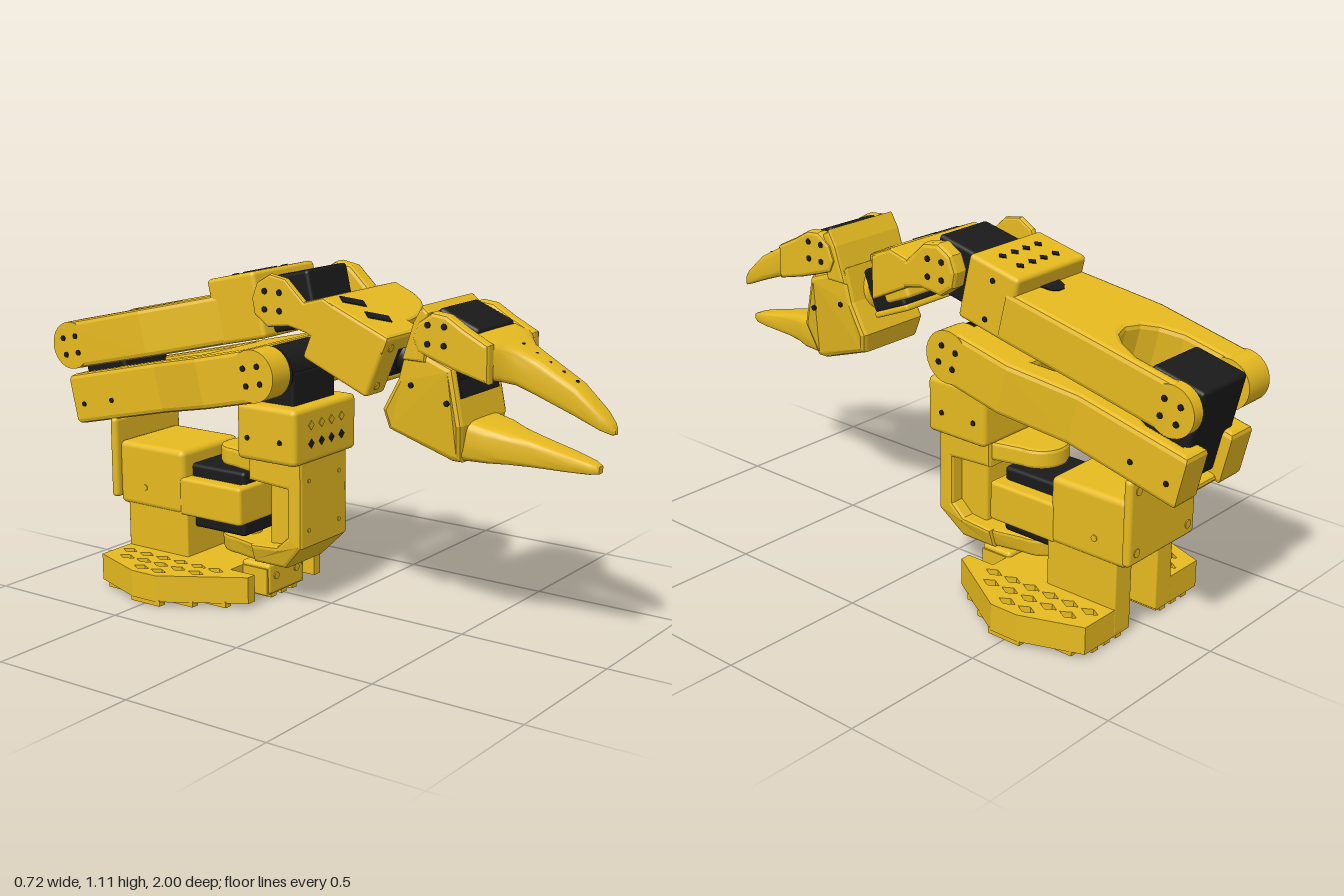
import * as THREE from 'three';
import { toCreasedNormals } from 'three/addons/utils/BufferGeometryUtils.js';
import { RoundedBoxGeometry } from 'three/addons/geometries/RoundedBoxGeometry.js';

const yellow = new THREE.MeshStandardMaterial({ color: 0xe6ba20 });
yellow.name = 'yellow plastic';
const black = new THREE.MeshStandardMaterial({ color: 0x1a1a1a });
black.name = 'black servo';

const polygon = (pts) => new THREE.Shape(pts.map(([a, b]) => new THREE.Vector2(a, b)));

function add(parent, name, geo, mat = yellow) {
  const mesh = new THREE.Mesh(geo, mat);
  mesh.name = name;
  parent.add(mesh);
  return mesh;
}

// Bevelled extrusion that keeps to its outline and spans 0..depth
function extrude(shape, depth, b) {
  return new THREE.ExtrudeGeometry(shape, {
    depth: depth - 2 * b, bevelEnabled: b > 0, bevelThickness: b, bevelSize: b, bevelOffset: -b, bevelSegments: 2, curveSegments: 20,
  }).translate(0, 0, b);
}

// Outline in (z, y), extruded from x0 to x1
const side = (parent, name, pts, x0, x1, mat = yellow, b = 0.01) =>
  add(parent, name, extrude(polygon(pts), x1 - x0, b).rotateY(-Math.PI / 2).translate(x1, 0, 0), mat);

// Outline in (x, z), extruded from y0 to y1
const plan = (parent, name, shape, y0, y1, mat = yellow, b = 0.012) =>
  add(parent, name, extrude(shape, y1 - y0, b).rotateX(Math.PI / 2).translate(0, y1, 0), mat);

// Narrows a part in x from full width at yTop to the factor k at yBottom
function taper(mesh, yTop, yBottom, k) {
  const p = mesh.geometry.attributes.position;
  for (let i = 0; i < p.count; i++) {
    const t = THREE.MathUtils.clamp((yTop - p.getY(i)) / (yTop - yBottom), 0, 1);
    p.setX(i, p.getX(i) * (1 + (k - 1) * t));
  }
  mesh.geometry.computeVertexNormals();
}

function box(parent, name, [x0, x1], [y0, y1], [z0, z1], mat = yellow, r = 0.012) {
  const geo = new RoundedBoxGeometry(x1 - x0, y1 - y0, z1 - z0, 2, r);
  return add(parent, name, geo.translate((x0 + x1) / 2, (y0 + y1) / 2, (z0 + z1) / 2), mat);
}

// Disc or hub along x
const hub = (parent, name, r, x0, x1, y, z, mat = yellow) =>
  add(parent, name, new THREE.CylinderGeometry(r, r, x1 - x0, 32).rotateZ(Math.PI / 2).translate((x0 + x1) / 2, y, z), mat);

// Small screws and holes on faces towards x, y or z
function screw(parent, axis, x, y, z, mat = yellow, r = 0.011, sides = 10) {
  const geo = new THREE.CylinderGeometry(r, r, 0.006, sides);
  if (axis === 'x') geo.rotateZ(Math.PI / 2);
  if (axis === 'z') geo.rotateX(Math.PI / 2);
  add(parent, sides === 4 ? 'diamondHole' : 'screw', geo.translate(x, y, z), mat);
}

function hubScrews(parent, x, y, z, r = 0.04) {
  for (let i = 0; i < 4; i++) {
    const a = Math.PI / 4 + i * Math.PI / 2;
    screw(parent, 'x', x, y + r * Math.sin(a), z + r * Math.cos(a), black, 0.01);
  }
}

// Jaw lofted through boxy rounded sections [z, bottom, top, halfWidth]
function loft(parent, name, rows) {
  const n = 32, pos = [], idx = [];
  for (const [z, y0, y1, w] of rows) for (let i = 0; i < n; i++) {
    const a = (i / n) * Math.PI * 2, c = Math.cos(a), s = Math.sin(a);
    const f = (v) => Math.sign(v) * Math.abs(v) ** 0.4;
    pos.push(w * f(c), (y0 + y1) / 2 + (y1 - y0) / 2 * f(s), z);
  }
  for (let k = 0; k < rows.length - 1; k++) for (let i = 0; i < n; i++) {
    const a = k * n + i, b = k * n + (i + 1) % n;
    idx.push(a, b, b + n, a, b + n, a + n);
  }
  const last = (rows.length - 1) * n;
  for (let i = 1; i < n - 1; i++) idx.push(0, i + 1, i, last, last + i, last + i + 1);
  const geo = new THREE.BufferGeometry();
  geo.setAttribute('position', new THREE.Float32BufferAttribute(pos, 3));
  geo.setIndex(idx);
  add(parent, name, toCreasedNormals(geo, 0.6));
}

function section(parent, name, y = 0, z = 0, tilt = 0) {
  const g = new THREE.Group();
  g.name = name;
  g.position.set(0, y, z);
  g.rotation.x = tilt;
  parent.add(g);
  return g;
}

const mirrored = (half) => polygon([...half, ...half.map(([x, z]) => [-x, z]).reverse()]);

function buildBase(root) {
  const g = section(root, 'base');
  const limit = (z) => z < -0.55 ? 0.285 + (z + 0.75) * 0.375 : z < -0.45 ? 0.36 : 0.36 - (z + 0.45) * 0.615;
  // Perforated foot plate with a rear notch and two front slots
  const plate = mirrored([[0.07, -0.55], [0.07, -0.75], [0.285, -0.75], [0.36, -0.55], [0.36, -0.45], [0.2, -0.19], [0.165, -0.19], [0.165, -0.29], [0.1, -0.29], [0.1, -0.19]]);
  for (const s of [-1, 1]) for (let c = 0; c < 3; c++) for (let r = 0; r < 7; r++) {
    const x = 0.2 + c * 0.057, z = -0.7 + r * 0.075 + (c % 2) * 0.037;
    if (x + 0.03 > Math.min(limit(z - 0.03), limit(z + 0.03)) || z > -0.25) continue;
    plate.holes.push(new THREE.Path([[0.019, 0], [0, 0.032], [-0.019, 0], [0, -0.032]]
      .map(([a, b]) => new THREE.Vector2(s * x + a, z + b))));
  }
  plan(g, 'footPlate', plate, 0.015, 0.105, yellow, 0);
  // Ribs below the plate
  for (let i = -6; i <= 6; i++) {
    const x = Math.abs(i) * 0.057;
    const z0 = x < 0.09 ? -0.55 : x < 0.28 ? -0.745 : -0.75 + (x - 0.27) / 0.375;
    const z1 = x > 0.1 && x < 0.18 ? -0.29 : x < 0.2 ? -0.195 : -0.45 + (0.35 - x) / 0.615;
    add(g, 'footRib', new THREE.BoxGeometry(0.028, 0.02, z1 - z0).translate(i * 0.057, 0.01, (z0 + z1) / 2));
  }
  box(g, 'frontBlock', [-0.095, 0.095], [0.015, 0.12], [-0.3, -0.185]);
  for (const x of [-0.055, 0.055]) screw(g, 'z', x, 0.075, -0.184, yellow, 0.013);
  // Column, servo cradle and back plate
  for (const s of [-1, 1]) {
    const span = (a, b) => s > 0 ? [a, b] : [-b, -a];
    box(g, 'columnLeg', span(0.065, 0.145), [0.02, 0.27], [-0.751, -0.49], yellow, 0.006);
    box(g, 'cradleArm', span(0.095, 0.15), [0.25, 0.38], [-0.52, -0.26]);
    screw(g, 'x', s * 0.15, 0.32, -0.67);
  }
  box(g, 'columnCore', [-0.1, 0.1], [0.08, 0.27], [-0.58, -0.49]);
  box(g, 'cradle', [-0.15, 0.15], [0.25, 0.47], [-0.785, -0.5], yellow, 0.02);
  box(g, 'cradleFront', [-0.12, 0.12], [0.25, 0.38], [-0.3, -0.26]);
  box(g, 'backPlate', [-0.168, 0.168], [0.27, 0.55], [-0.81, -0.78], yellow, 0.014);
  for (const x of [-0.13, 0.13]) for (const y of [0.31, 0.51]) screw(g, 'z', x, y, -0.81, yellow, 0.014);
  box(g, 'baseServo', [-0.1, 0.1], [0.2, 0.42], [-0.51, -0.28], black);
}

function buildShoulder(root) {
  const g = section(root, 'shoulder');
  // C-shaped yaw bracket around the base servo
  const wall = side(g, 'bracketWall', [[-0.03, 0.5], [-0.03, 0.21], [-0.11, 0.125], [-0.24, 0.125], [-0.24, 0.19], [-0.13, 0.2], [-0.085, 0.24], [-0.085, 0.4], [-0.24, 0.41], [-0.24, 0.5]], -0.13, 0.13, yellow, 0.012);
  taper(wall, 0.2, 0.125, 0.8);
  box(g, 'bracketCore', [-0.08, 0.08], [0.18, 0.43], [-0.19, -0.07]);
  const tongue = new THREE.Shape();
  tongue.moveTo(0.125, -0.2).lineTo(-0.125, -0.2).lineTo(-0.09, -0.34);
  tongue.absarc(0, -0.34, 0.09, Math.PI, Math.PI * 2).lineTo(0.125, -0.2);
  taper(plan(g, 'lowerTongue', tongue, 0.125, 0.19), 0.2, 0.125, 0.8);
  plan(g, 'upperTongue', tongue, 0.43, 0.495);
  add(g, 'yawHorn', new THREE.CylinderGeometry(0.045, 0.045, 0.28, 28).translate(0, 0.32, -0.34));
  for (const x of [-0.083, 0.083]) for (const y of [0.265, 0.43]) screw(g, 'z', x, y, -0.03, yellow, 0.007);
  // Pitch servo holder
  box(g, 'servoHolder', [-0.17, 0.17], [0.49, 0.675], [-0.255, -0.02], yellow, 0.018);
  for (const x of [-0.083, -0.027, 0.027, 0.083]) {
    screw(g, 'z', x, 0.555, -0.02, black, 0.015, 4);
    screw(g, 'z', x, 0.615, -0.02, yellow, 0.015, 4);
  }
  for (const s of [-1, 1]) for (const z of [-0.08, -0.21]) screw(g, 'x', s * 0.17, 0.565, z, black, 0.009);
  box(g, 'shoulderServo', [-0.115, 0.115], [0.6, 0.785], [-0.245, -0.065], black);
  hub(g, 'shoulderServoTop', 0.082, -0.115, 0.105, 0.775, -0.15, black);
}

function buildUpperArm(root) {
  const g = section(root, 'upperArm', 0.78, -0.15, -0.227);
  // Fork at the shoulder, closed body, rear servo holder
  plan(g, 'armBody', mirrored([[0.13, 0], [0.222, 0], [0.222, -0.22], [0.165, -0.45], [0.165, -0.845], [0.06, -0.845], [0.06, -0.79], [0.11, -0.79], [0.11, -0.66], [0.09, -0.64], [0.09, -0.35], [0.13, -0.25]]), -0.086, 0.086, yellow, 0.016);
  plan(g, 'frontWeb', mirrored([[0.11, -0.31], [0.11, -0.47]]), -0.07, 0.05);
  plan(g, 'rearWeb', mirrored([[0.11, -0.57], [0.11, -0.7]]), -0.07, 0.05);
  plan(g, 'holderFloor', mirrored([[0.13, -0.65], [0.13, -0.83]]), -0.084, -0.06);
  for (const s of [-1, 1]) {
    hub(g, 'shoulderHub', 0.085, s > 0 ? 0.13 : -0.222, s > 0 ? 0.222 : -0.13, 0, 0);
    hubScrews(g, s * 0.222, 0, 0);
    for (const z of [-0.67, -0.8]) screw(g, 'x', s * 0.165, -0.02, z, black, 0.009);
  }
}

function buildForearm(root) {
  const g = section(root, 'forearm', 0.795, -0.92, -0.227);
  // Elbow fork with an arched opening
  const body = polygon([[0.155, 0], [0.158, 0.3], [0.165, 0.62], [-0.165, 0.62], [-0.226, 0.33], [-0.226, 0],
    [-0.12, 0], [-0.12, 0.17], [-0.09, 0.24], [-0.05, 0.28], [0, 0.295], [0.05, 0.28], [0.085, 0.24], [0.112, 0.17], [0.112, 0]]);
  plan(g, 'forearmBody', body, -0.08, 0.08, yellow, 0.016);
  for (const [x0, x1] of [[-0.226, -0.12], [0.112, 0.155]]) {
    hub(g, 'elbowHub', 0.08, x0, x1, 0, 0);
    hubScrews(g, x0 < 0 ? x0 : x1, 0, 0);
  }
  box(g, 'elbowServo', [-0.11, 0.11], [-0.24, 0.075], [-0.064, 0.12], black);
  // Dark cable opening behind the wrist servo holder
  plan(g, 'cableOpening', mirrored([[0.045, 0.592], [0.034, 0.56], [0.014, 0.545]]), 0.078, 0.083, black, 0);
  // Wrist servo holder with rows of diamond openings
  box(g, 'wristServoHolder', [-0.165, 0.162], [-0.08, 0.133], [0.59, 0.785], yellow, 0.014);
  for (const x of [-0.083, -0.027, 0.027, 0.083]) for (const z of [0.65, 0.72]) screw(g, 'y', x, 0.133, z, black, 0.015, 4);
  for (const y of [-0.04, 0.09]) screw(g, 'x', 0.162, y, 0.68, black, 0.009);
  box(g, 'wristServo', [-0.11, 0.105], [-0.07, 0.107], [0.74, 0.955], black);
}

function buildWrist(root) {
  const g = section(root, 'wrist');
  // Side cheeks carrying the pitch hubs
  const cheek = [[-0.14, 1.03], [-0.12, 1.08], [-0.07, 1.11], [-0.01, 1.1], [0.06, 1.035], [0.13, 1.055], [0.2, 1.02], [0.2, 0.89], [0.07, 0.94], [0, 0.955], [-0.08, 0.945], [-0.13, 0.98]];
  side(g, 'rightCheek', cheek, -0.23, -0.205, yellow, 0.008);
  side(g, 'leftCheek', cheek, 0.115, 0.178, yellow, 0.014);
  hubScrews(g, 0.178, 1.028, -0.06);
  hubScrews(g, -0.23, 1.028, -0.06);
  side(g, 'wristBridge', [[0.055, 1.035], [0.13, 1.055], [0.21, 1.015], [0.21, 0.87], [0.065, 0.94]], -0.23, 0.178);
  // Tilted roll-servo housing, square on one side and curved on the other
  const h = section(g, 'rollHousing', 1.055, 0.13, 0.39);
  const top = new THREE.Shape();
  top.moveTo(-0.23, 0).lineTo(0.178, 0).lineTo(0.178, 0.06);
  top.bezierCurveTo(0.17, 0.14, 0.08, 0.19, -0.03, 0.2).lineTo(-0.03, 0.255).lineTo(-0.23, 0.255).lineTo(-0.23, 0);
  plan(h, 'housingTop', top, -0.06, 0);
  box(h, 'housingWall', [-0.23, -0.13], [-0.205, -0.01], [0.0, 0.255]);
  box(h, 'housingBack', [-0.2, 0.165], [-0.165, -0.02], [-0.01, 0.1]);
  box(h, 'housingFloor', [-0.2, 0.12], [-0.205, -0.185], [0.06, 0.215], yellow, 0.008);
  box(h, 'rollServo', [-0.135, 0.115], [-0.19, -0.045], [0.07, 0.215], black);
  for (const z of [0.05, 0.15]) {
    const slot = box(h, 'housingSlot', [-0.04, 0.04], [-0.003, 0.003], [-0.02, 0.02], black, 0.002);
    slot.position.set(-0.135, 0, z);
    slot.rotation.y = -0.65;
  }
  for (const y of [-0.04, -0.17]) screw(h, 'z', -0.19, y, 0.255, yellow, 0.013);
  add(h, 'rollHorn', new THREE.CylinderGeometry(0.05, 0.05, 0.1, 28).rotateX(Math.PI / 2).translate(0, -0.12, 0.24), black);
  add(h, 'rollFlange', new THREE.CylinderGeometry(0.075, 0.075, 0.04, 28).rotateX(Math.PI / 2).translate(0, -0.12, 0.275));
}

function buildGripper(root) {
  const g = section(root, 'gripper');
  // Fixed body and lower jaw
  const body = side(g, 'gripperBody', [[0.37, 0.93], [0.53, 0.87], [0.565, 0.7], [0.545, 0.58], [0.51, 0.58], [0.3, 0.655], [0.285, 0.72], [0.34, 0.82]], -0.14, 0.14, yellow, 0.016);
  taper(body, 0.7, 0.58, 0.72);
  side(g, 'servoBack', [[0.4, 1.0], [0.43, 1.05], [0.455, 1.03], [0.44, 0.88], [0.36, 0.88]], -0.15, 0.15);
  loft(g, 'lowerJaw', [[0.53, 0.58, 0.715, 0.105], [0.62, 0.582, 0.695, 0.095], [0.68, 0.583, 0.68, 0.068], [0.75, 0.584, 0.665, 0.052], [0.87, 0.586, 0.637, 0.042], [0.93, 0.587, 0.622, 0.03], [0.955, 0.59, 0.612, 0.014]]);
  for (const s of [-1, 1]) for (const [y, z] of [[0.765, 0.515], [0.805, 0.39]]) screw(g, 'x', s * 0.14, y, z, black, 0.009);
  // Jaw servo and its exposed front between the jaws
  const servo = box(g, 'jawServo', [-0.108, 0.105], [-0.2, 0.055], [-0.075, 0.075], black);
  servo.position.set(0, 0.965, 0.515);
  servo.rotation.x = 0.38;
  side(g, 'jawServoFront', [[0.53, 0.862], [0.53, 0.78], [0.5535, 0.78], [0.5365, 0.862]], -0.115, 0.105, black, 0);
  // Moving upper jaw
  const cheek = [[0.4, 0.95], [0.42, 1.0], [0.47, 1.035], [0.52, 1.03], [0.58, 0.995], [0.66, 0.955], [0.66, 0.84], [0.56, 0.865], [0.48, 0.89], [0.42, 0.91]];
  for (const s of [-1, 1]) {
    side(g, 'jawCheek', cheek, s > 0 ? 0.11 : -0.157, s > 0 ? 0.157 : -0.11, yellow, 0.012);
    hubScrews(g, s * 0.157, 0.968, 0.485);
  }
  loft(g, 'upperJaw', [[0.6, 0.86, 0.98, 0.152], [0.645, 0.842, 0.965, 0.145], [0.67, 0.835, 0.953, 0.105], [0.7, 0.825, 0.938, 0.07], [0.76, 0.8, 0.91, 0.053], [0.88, 0.755, 0.845, 0.044], [0.96, 0.722, 0.775, 0.034], [0.99, 0.711, 0.745, 0.018], [1.0, 0.712, 0.73, 0.008]]);
  for (let i = 0; i < 5; i++) screw(g, 'y', 0, 0.942 - i * 0.0225, 0.69 + i * 0.045, black, 0.005);
}

export function createModel() {
  const root = new THREE.Group();
  root.name = 'robotArm';
  [buildBase, buildShoulder, buildUpperArm, buildForearm, buildWrist, buildGripper].forEach((build) => build(root));
  return root;
}
